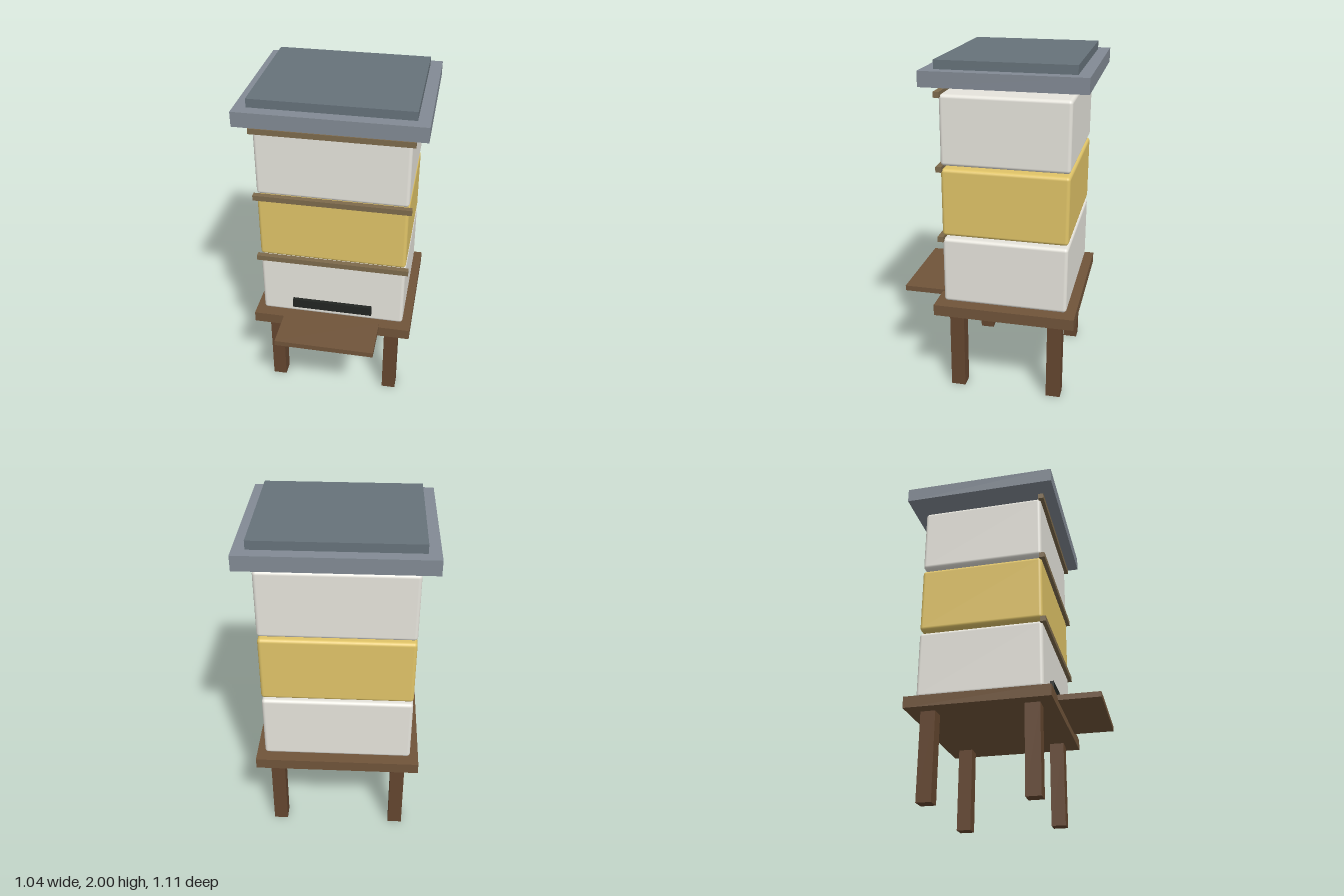
import * as THREE from 'three';
import { RoundedBoxGeometry } from 'three/addons/geometries/RoundedBoxGeometry.js';

const paint = (color) => new THREE.MeshStandardMaterial({ color });

export function createModel() {
  const hive = new THREE.Group();
  hive.name = 'beehive';

  const white = paint(0xe6e4dc);
  const yellow = paint(0xe0c468);
  const wood = paint(0x70543a);
  const legWood = paint(0x64462f);
  const slatWood = paint(0x7d6a4c);
  const dark = paint(0x222522);
  const roofGrey = paint(0x828a94);
  const roofDark = paint(0x66727a);

  // Block given by its extents along each axis; a radius rounds the edges
  function block(name, material, [x0, x1], [y0, y1], [z0, z1], radius = 0) {
    const size = [x1 - x0, y1 - y0, z1 - z0];
    const geometry = radius
      ? new RoundedBoxGeometry(...size, 4, radius)
      : new THREE.BoxGeometry(...size);
    const mesh = new THREE.Mesh(geometry, material);
    mesh.name = name;
    mesh.position.set((x0 + x1) / 2, (y0 + y1) / 2, (z0 + z1) / 2);
    hive.add(mesh);
  }

  // Stand: four square legs under a platform
  for (const x of [-0.365, 0.365]) {
    for (const z of [0.193, -0.396]) {
      const name = (z > 0 ? 'front' : 'back') + (x > 0 ? 'Left' : 'Right') + 'Leg';
      block(name, legWood, [x - 0.042, x + 0.042], [0, 0.508], [z - 0.043, z + 0.043]);
    }
  }
  block('platform', wood, [-0.483, 0.483], [0.508, 0.574], [-0.516, 0.312]);
  block('landingBoard', wood, [-0.295, 0.295], [0.551, 0.583], [0.283, 0.553]);

  // Three stacked hive bodies, each with a slat along its front top edge
  const bodies = [['lowerBody', white], ['middleBody', yellow], ['upperBody', white]];
  bodies.forEach(([name, material], i) => {
    const y = 0.584 + i * 0.416;
    block(name, material, [-0.433, 0.433], [y, y + 0.398], [-0.464, 0.261], 0.02);
    block(name + 'Slat', slatWood, [-0.451, 0.451], [y + 0.383, y + 0.415], [0.25, 0.283]);
  });
  block('entrance', dark, [-0.243, 0.243], [0.633, 0.691], [0.247, 0.283]);

  // Two-tier flat roof
  block('roof', roofGrey, [-0.519, 0.519], [1.866, 1.951], [-0.557, 0.344]);
  block('roofCap', roofDark, [-0.451, 0.451], [1.951, 2], [-0.489, 0.276]);

  return hive;
}
